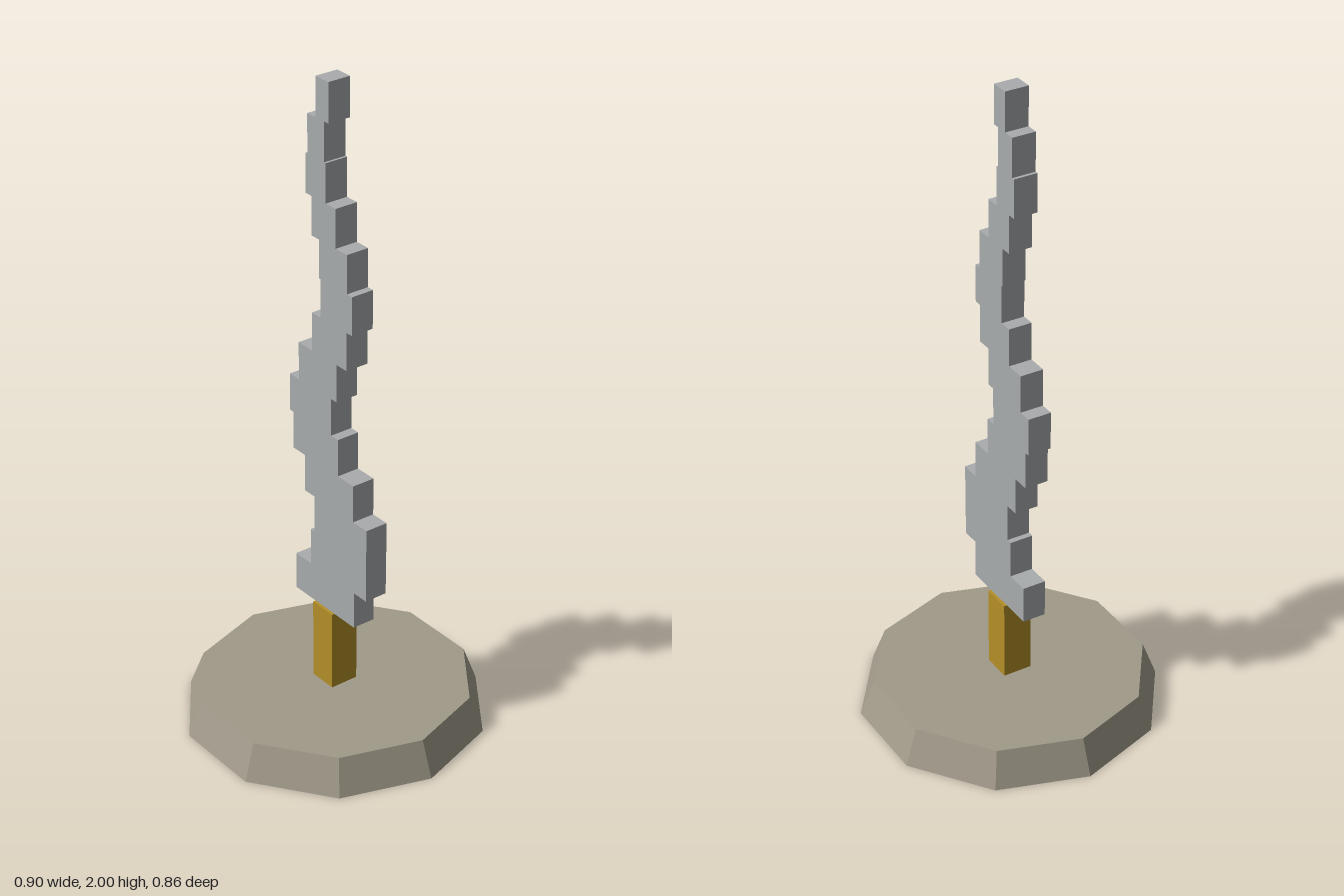
import * as THREE from 'three';

export function createModel() {
  const model = new THREE.Group();
  model.name = 'wavyBladeOnStand';

  const stone = new THREE.MeshStandardMaterial({ color: 0xa19a8a, side: THREE.DoubleSide });
  stone.name = 'stone';
  stone.flatShading = true;
  const brass = new THREE.MeshStandardMaterial({ color: 0xb59029 });
  brass.name = 'brass';
  const steel = new THREE.MeshStandardMaterial({ color: 0xa9acae, side: THREE.DoubleSide });
  steel.name = 'steel';

  function add(parent, name, geometry, material, x, y) {
    const mesh = new THREE.Mesh(geometry, material);
    mesh.name = name;
    mesh.position.set(x, y, 0);
    parent.add(mesh);
  }

  // Box without its underside (the fourth face of six, six indices each)
  function openBox(width, height, depth) {
    const box = new THREE.BoxGeometry(width, height, depth);
    const index = Array.from(box.index.array);
    index.splice(18, 6);
    box.setIndex(index);
    box.clearGroups();
    return box;
  }

  // Hollow ten-sided stand: tapered wall with a lid, open below, corners on the x axis
  const baseHeight = 0.11;
  const wall = new THREE.CylinderGeometry(0.41, 0.452, baseHeight, 10, 1, true);
  wall.rotateY(Math.PI / 2);
  add(model, 'baseWall', wall, stone, 0, baseHeight / 2);
  const lid = new THREE.CircleGeometry(0.41, 10);
  lid.rotateX(-Math.PI / 2);
  add(model, 'baseLid', lid, stone, 0, baseHeight);

  // Square grip, its end just poking through the lid
  const gripTop = 0.364;
  const gripBottom = 0.106;
  add(model, 'grip', new THREE.BoxGeometry(0.09, gripTop - gripBottom, 0.09), brass,
    0, (gripTop + gripBottom) / 2);

  // Stepped blade: slabs narrow evenly while their centres swing side to side
  const blade = new THREE.Group();
  blade.name = 'blade';
  model.add(blade);
  const centres = [-0.001, 0.062, 0.071, 0.019, -0.043, -0.066, -0.032,
    0.021, 0.052, 0.038, -0.003, -0.038, -0.037, -0.009];
  const step = (2 - gripTop) / centres.length;
  centres.forEach((x, i) => {
    const width = 0.273 - 0.0167 * i;
    add(blade, 'bladeStep' + (i + 1), openBox(width, step, 0.072), steel,
      x, gripTop + (i + 0.5) * step);
  });

  return model;
}
